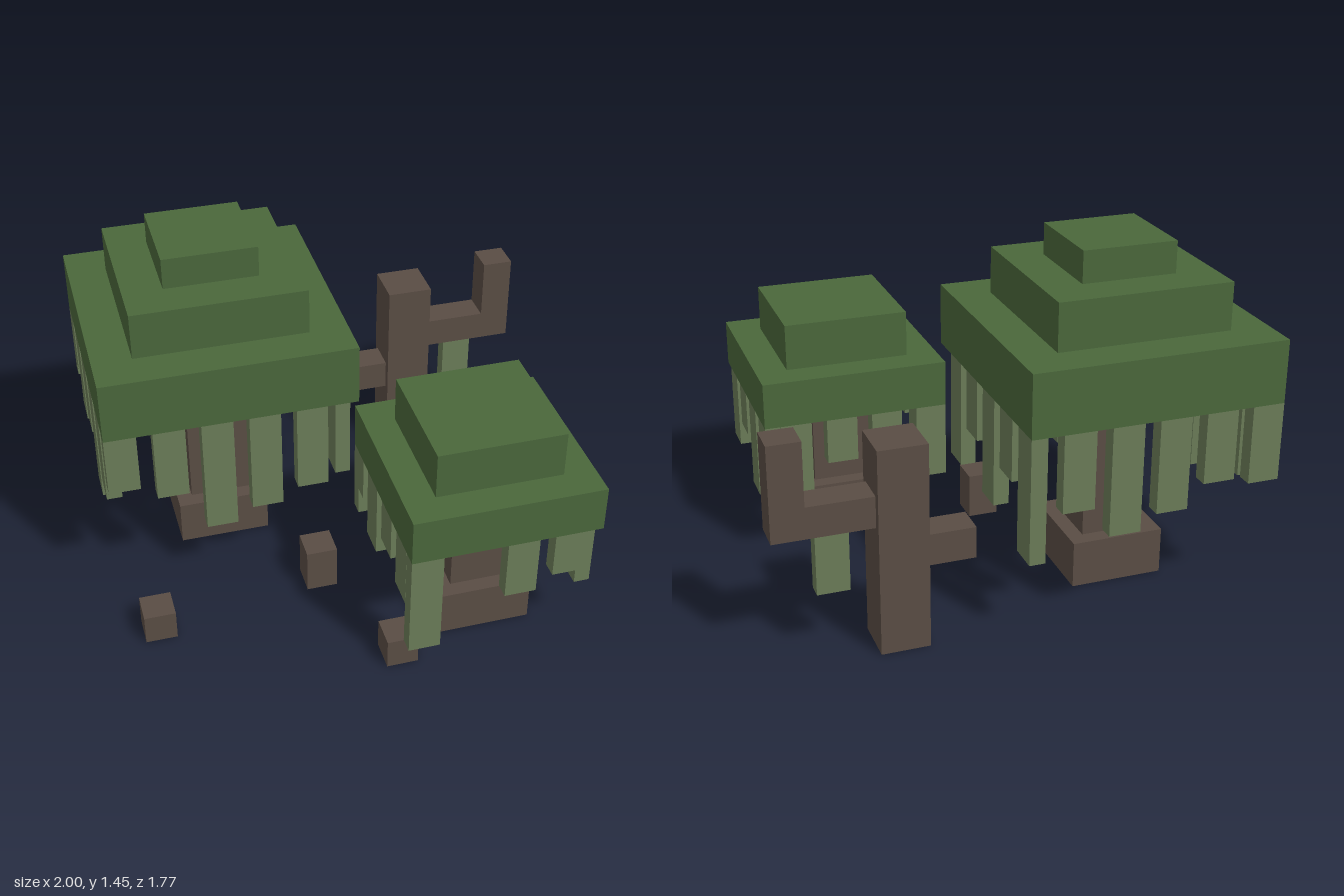
import * as THREE from 'three';

const mat = (name, color) => {
  const m = new THREE.MeshStandardMaterial({ color });
  m.name = name;
  return m;
};

export function createModel() {
  const leaf = mat('leaf green', 0x4a673b);
  const moss = mat('hanging moss green', 0x6b7c58);
  const bark = mat('bark brown', 0x5a4d44);

  const model = new THREE.Group();
  model.name = 'swampTrees';

  const group = (name) => {
    const g = new THREE.Group();
    g.name = name;
    model.add(g);
    return g;
  };

  // Box from its min and max on each axis
  const box = (parent, name, material, [x0, x1], [y0, y1], [z0, z1]) => {
    const mesh = new THREE.Mesh(new THREE.BoxGeometry(x1 - x0, y1 - y0, z1 - z0), material);
    mesh.position.set((x0 + x1) / 2, (y0 + y1) / 2, (z0 + z1) / 2);
    mesh.name = name;
    parent.add(mesh);
  };

  // Square block around a tree's axis
  const block = (parent, name, material, [cx, cz], half, y) =>
    box(parent, name, material, [cx - half, cx + half], y, [cz - half, cz + half]);

  const PITCH = 0.196, WIDE = 0.131, THIN = 0.065;

  // Moss strands along the canopy edges; each list holds strand bottoms, null leaves a gap
  const hangMoss = (parent, [cx, cz], half, top, rows) => {
    const x0 = cx - half, x1 = cx + half, z0 = cz - half, z1 = cz + half;
    const strands = (list, start, end, place) => list.forEach((bottom, i) => {
      if (bottom === null) return;
      const a = start + i * PITCH;
      place([a, Math.min(a + WIDE, end)], [bottom, top]);
    });
    strands(rows.front, x0, x1, (s, y) => box(parent, 'frontMoss', moss, s, y, [z1 - THIN, z1]));
    strands(rows.back, x0, x1, (s, y) => box(parent, 'backMoss', moss, s, y, [z0, z0 + THIN]));
    strands(rows.left, z0, z1, (s, y) => box(parent, 'leftMoss', moss, [x1 - THIN, x1], y, s));
    strands(rows.right, z0, z1, (s, y) => box(parent, 'rightMoss', moss, [x0, x0 + THIN], y, s));
  };

  // Large tree
  const big = group('largeTree');
  const bc = [-0.477, -0.362];
  block(big, 'rootBase', bark, bc, 0.196, [0, 0.197]);
  block(big, 'trunk', bark, bc, 0.131, [0.197, 0.855]);
  block(big, 'lowerCanopy', leaf, bc, 0.523, [0.855, 1.116]);
  block(big, 'middleCanopy', leaf, bc, 0.36, [1.116, 1.313]);
  block(big, 'topCanopy', leaf, bc, 0.196, [1.313, 1.445]);
  hangMoss(big, bc, 0.523, 0.855, {
    front: [0.595, 0.53, 0.333, 0.398, 0.464],
    back: [0.53, 0.56, 0.464, 0.4, 0.53, 0.595],
    left: [0.333, 0.595, 0.398, 0.595, 0.398],
    right: [0.595, 0.464, 0.53, 0.333, 0.464],
  });

  // Small tree
  const small = group('smallTree');
  const sc = [0.44, 0.492];
  block(small, 'rootBase', bark, sc, 0.196, [0, 0.197]);
  block(small, 'trunk', bark, sc, 0.131, [0.197, 0.594]);
  block(small, 'lowerCanopy', leaf, sc, 0.393, [0.594, 0.79]);
  block(small, 'topCanopy', leaf, sc, 0.262, [0.79, 0.986]);
  hangMoss(small, sc, 0.393, 0.594, {
    front: [0.135, null, 0.333, 0.398],
    back: [0.27, 0.135, 0.398, 0.268],
    left: [0.268, 0.2, 0.398, 0.268],
    right: [0.398, 0.268, 0.398, 0.333],
  });

  // Dead tree with two branches
  const dead = group('deadTree');
  const bz = [-0.755, -0.624];
  box(dead, 'deadTrunk', bark, [0.407, 0.604], [0, 0.855], [-0.787, -0.591]);
  box(dead, 'leftBranch', bark, [0.604, 0.869], [0.529, 0.659], bz);
  box(dead, 'leftBranchTip', bark, [0.869, 1], [0.529, 0.921], bz);
  box(dead, 'rightBranch', bark, [0.211, 0.407], [0.333, 0.464], bz);
  box(dead, 'branchMoss', moss, [0.7, 0.83], [0.268, 0.529], [-0.722, -0.657]);

  // Root stumps standing free around the trees
  const stumps = group('stumps');
  box(stumps, 'sideStump', bark, [-0.936, -0.805], [0, 0.131], [0.292, 0.423]);
  box(stumps, 'middleStump', bark, [-0.215, -0.084], [0, 0.197], [0.162, 0.292]);
  box(stumps, 'frontStump', bark, [-0.019, 0.111], [0, 0.131], [0.688, 0.819]);

  return model;
}
